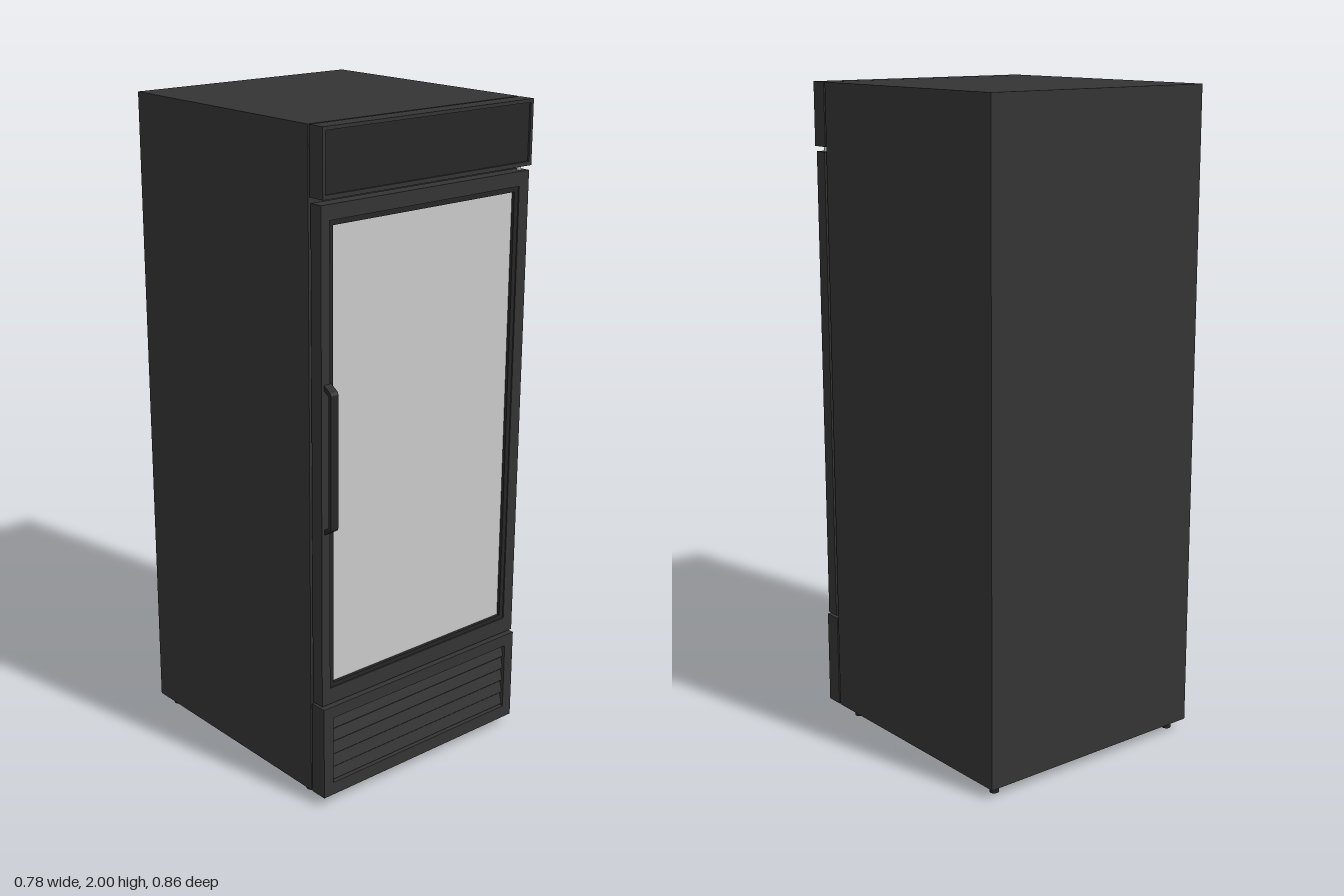
import * as THREE from 'three';

const mat = (name, color) => {
  const m = new THREE.MeshStandardMaterial({ color });
  m.name = name;
  return m;
};

export function createModel() {
  const black = mat('cabinet black', 0x343434);
  const trim = mat('dark trim', 0x262626);
  const glass = mat('pale glass', 0xcacaca);
  const steel = mat('hinge steel', 0xc0c0c0);
  const group = new THREE.Group();

  const add = (name, geometry, material, x = 0, y = 0, z = 0) => {
    const mesh = new THREE.Mesh(geometry, material);
    mesh.name = name;
    mesh.position.set(x, y, z);
    group.add(mesh);
    return mesh;
  };

  // Box given by its lower and upper corners
  const box = (name, material, x0, x1, y0, y1, z0, z1) =>
    add(name, new THREE.BoxGeometry(x1 - x0, y1 - y0, z1 - z0), material,
      (x0 + x1) / 2, (y0 + y1) / 2, (z0 + z1) / 2);

  const rectangle = (Type, x0, x1, y0, y1) => {
    const p = new Type();
    p.moveTo(x0, y0);
    p.lineTo(x1, y0);
    p.lineTo(x1, y1);
    p.lineTo(x0, y1);
    p.closePath();
    return p;
  };

  // Rectangular frame with an opening, extruded from z0 to z1
  const frame = (name, material, outer, inner, z0, z1) => {
    const shape = rectangle(THREE.Shape, ...outer);
    shape.holes.push(rectangle(THREE.Path, ...inner));
    const geometry = new THREE.ExtrudeGeometry(shape, { depth: z1 - z0, bevelEnabled: false });
    return add(name, geometry, material, 0, 0, z0);
  };

  // Cabinet
  box('cabinet', black, -0.39, 0.39, 0.03, 2, -0.43, 0.35);

  // Header with a shallow recessed panel
  box('headerSeam', trim, -0.385, 0.385, 1.815, 1.995, 0.35, 0.357);
  box('headerPanel', trim, -0.385, 0.385, 1.82, 1.995, 0.357, 0.404);
  frame('headerFrame', black, [-0.39, 0.39, 1.81, 2], [-0.38, 0.38, 1.822, 1.99], 0.356, 0.41);

  // Door: gasket, frame, inner trim and glass
  box('doorGasket', trim, -0.38, 0.38, 0.345, 1.78, 0.35, 0.362);
  frame('doorFrame', black, [-0.39, 0.39, 0.33, 1.795], [-0.36, 0.352, 0.38, 1.752], 0.36, 0.402);
  frame('doorTrim', trim, [-0.36, 0.352, 0.38, 1.752], [-0.345, 0.337, 0.393, 1.737], 0.362, 0.398);
  box('doorGlass', glass, -0.345, 0.337, 0.393, 1.737, 0.38, 0.388);

  // Hinges in the gaps above and below the door
  for (const [y0, y1] of [[0.318, 0.332], [1.793, 1.812]]) {
    add('hingePin', new THREE.CylinderGeometry(0.007, 0.007, y1 - y0, 12), steel, 0.37, (y0 + y1) / 2, 0.38);
  }

  // Lower grille with sloping slats
  const grille = [-0.355, 0.355, 0.07, 0.285];
  box('grilleSeam', trim, -0.385, 0.385, 0.035, 0.315, 0.35, 0.357);
  box('grilleBack', trim, -0.36, 0.36, 0.065, 0.29, 0.357, 0.38);
  frame('grilleFrame', black, [-0.39, 0.39, 0.03, 0.322], grille, 0.356, 0.41);
  for (let i = 0; i < 5; i++) {
    const slat = box('grilleSlat', black, -0.355, 0.355, 0, 0.036, 0.391, 0.399);
    slat.position.y = 0.0925 + i * 0.0425;
    slat.rotation.x = -0.25;
  }

  // Handle: a bracket profile drawn in z and y, swept across x
  const profile = new THREE.Shape();
  [[0.4, 0.865], [0.428, 0.882], [0.432, 0.89], [0.432, 1.28], [0.428, 1.288], [0.4, 1.305]]
    .forEach(([z, y], i) => (i ? profile.lineTo(z, y) : profile.moveTo(z, y)));
  const opening = new THREE.Path();
  [[0.4, 0.88], [0.42, 0.893], [0.42, 1.277], [0.4, 1.29]]
    .forEach(([z, y], i) => (i ? opening.lineTo(z + 0.0005, y) : opening.moveTo(z + 0.0005, y)));
  profile.holes.push(opening);
  const handle = new THREE.ExtrudeGeometry(profile, { depth: 0.026, bevelEnabled: false });
  handle.rotateY(-Math.PI / 2);
  add('handle', handle, trim, -0.355, 0, 0);

  // Feet
  for (const x of [-0.35, 0.35]) {
    for (const z of [-0.39, 0.3]) {
      add('foot', new THREE.CylinderGeometry(0.016, 0.014, 0.034, 16), trim, x, 0.017, z);
    }
  }

  return group;
}
